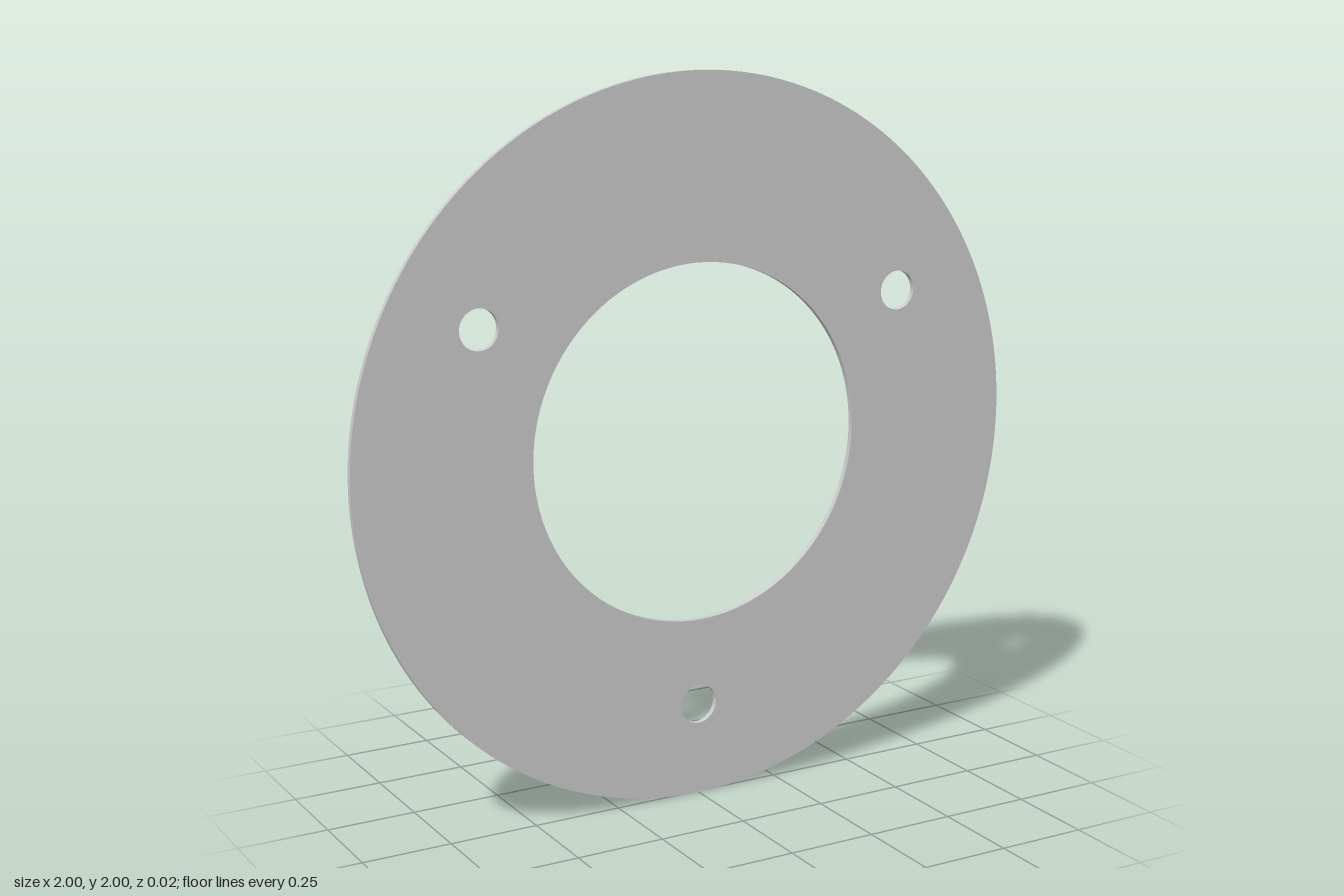
import * as THREE from 'three';
import { toCreasedNormals } from 'three/addons/utils/BufferGeometryUtils.js';

const OUTER = 1, BORE = 0.495, THICKNESS = 0.016;
const BOLT_CIRCLE = 0.74, BOLT_RADIUS = 0.055, BOLTS = 3;

// Circular cut-out, wound opposite to the outline
function circleHole(x, y, radius) {
  return new THREE.Path().absarc(x, y, radius, 0, Math.PI * 2, true);
}

export function createModel() {
  const group = new THREE.Group();
  group.name = 'flangeGasket';

  // Disc outline with the central bore
  const shape = new THREE.Shape().absarc(0, 0, OUTER, 0, Math.PI * 2, false);
  shape.holes.push(circleHole(0, 0, BORE));

  // Bolt holes, evenly spaced starting at the bottom
  for (let i = 0; i < BOLTS; i++) {
    const a = -Math.PI / 2 + (i * Math.PI * 2) / BOLTS;
    shape.holes.push(circleHole(BOLT_CIRCLE * Math.cos(a), BOLT_CIRCLE * Math.sin(a), BOLT_RADIUS));
  }

  // Thin plate, smooth around the rims and sharp at the edges
  const plate = new THREE.ExtrudeGeometry(shape, {
    depth: THICKNESS, bevelEnabled: false, curveSegments: 96,
  });
  plate.translate(0, OUTER, -THICKNESS / 2);

  const ring = new THREE.Mesh(
    toCreasedNormals(plate, Math.PI / 6),
    new THREE.MeshStandardMaterial({ color: 0xcccccc }),
  );
  ring.name = 'ringPlate';
  group.add(ring);
  return group;
}
